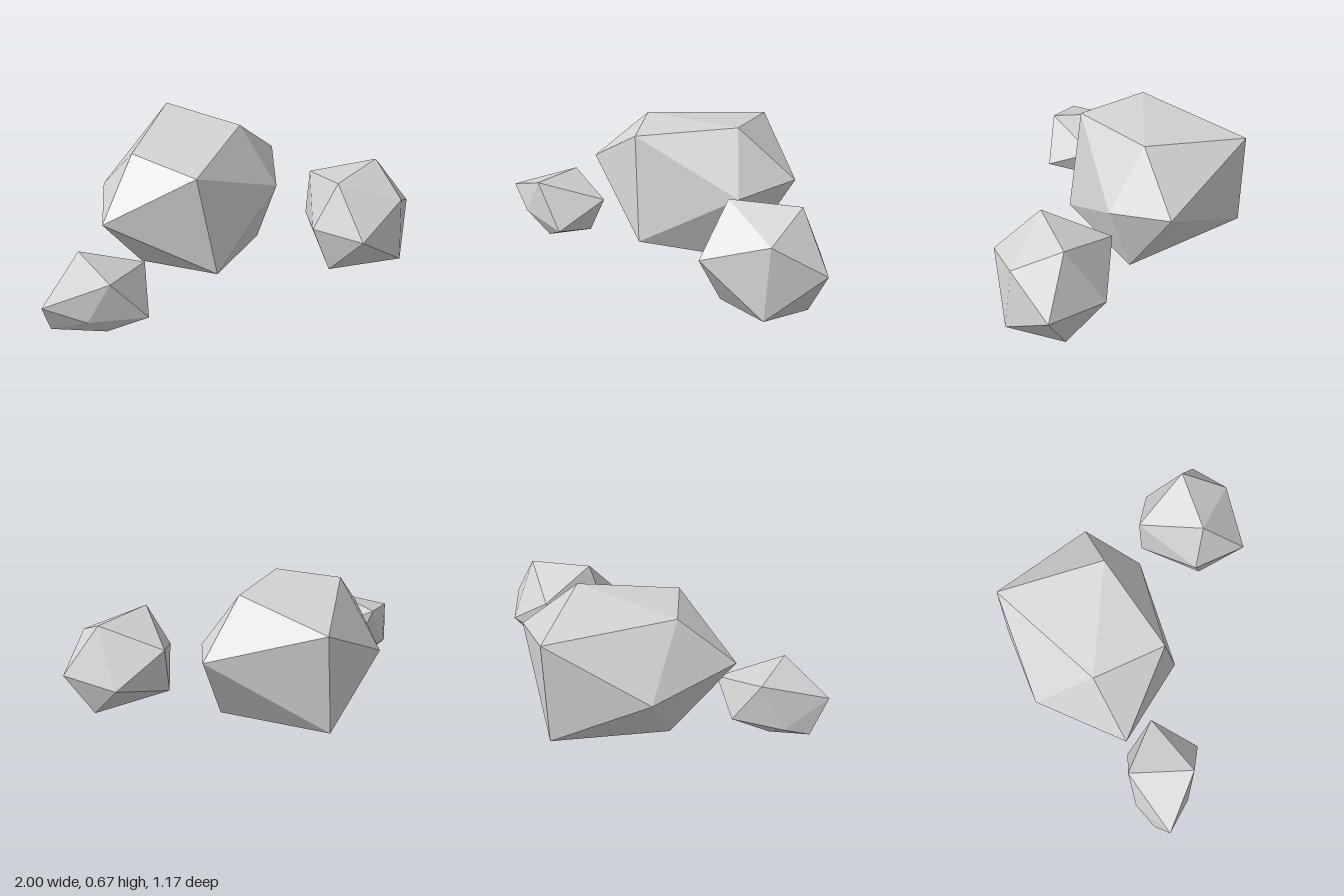
import * as THREE from 'three';
import { ConvexGeometry } from 'three/addons/geometries/ConvexGeometry.js';

const stone = new THREE.MeshStandardMaterial({ color: 0xd4d4d4 });
stone.name = 'light stone grey';

// A faceted boulder: the hull of twelve corners, like a squashed icosahedron
function boulder(name, corners) {
  const points = corners.map((c) => new THREE.Vector3(...c));
  const mesh = new THREE.Mesh(new ConvexGeometry(points), stone);
  mesh.name = name;
  return mesh;
}

export function createModel() {
  const group = new THREE.Group();
  group.name = 'rocks';

  group.add(boulder('largeRock', [
    // upper corners
    [0.14, 0.672, -0.105], [-0.45, 0.655, 0], [-0.2, 0.633, 0.29], [-0.134, 0.61, -0.583],
    // waist
    [0.383, 0.416, -0.278], [0.298, 0.365, 0.043], [-0.652, 0.41, 0.217], [-0.56, 0.34, -0.278],
    // base
    [-0.115, 0.098, 0.35], [-0.165, 0.087, -0.573], [0.23, 0, -0.047], [-0.43, 0, 0],
  ]));

  group.add(boulder('mediumRock', [
    // upper corners
    [0.805, 0.5, 0.143], [0.517, 0.505, 0.325], [0.845, 0.388, 0.387], [0.506, 0.387, -0.014],
    // waist
    [0.997, 0.235, 0.178], [0.569, 0.288, 0.556], [0.395, 0.26, 0.333], [0.77, 0.207, -0.037],
    // base
    [0.852, 0.052, 0.432], [0.485, 0.145, 0.01], [0.857, 0.01, 0.142], [0.492, 0, 0.35],
  ]));

  group.add(boulder('smallRock', [
    // upper corners
    [-0.687, 0.323, 0.574], [-0.783, 0.313, 0.26], [-1, 0.225, 0.532], [-0.471, 0.217, 0.303],
    // waist
    [-0.805, 0.136, 0.583], [-0.515, 0.09, 0.57], [-0.89, 0.075, 0.333], [-0.645, 0.072, 0.225],
    // base
    [-0.965, 0.03, 0.45], [-0.532, 0.042, 0.355], [-0.783, 0, 0.36], [-0.709, 0, 0.508],
  ]));

  return group;
}
